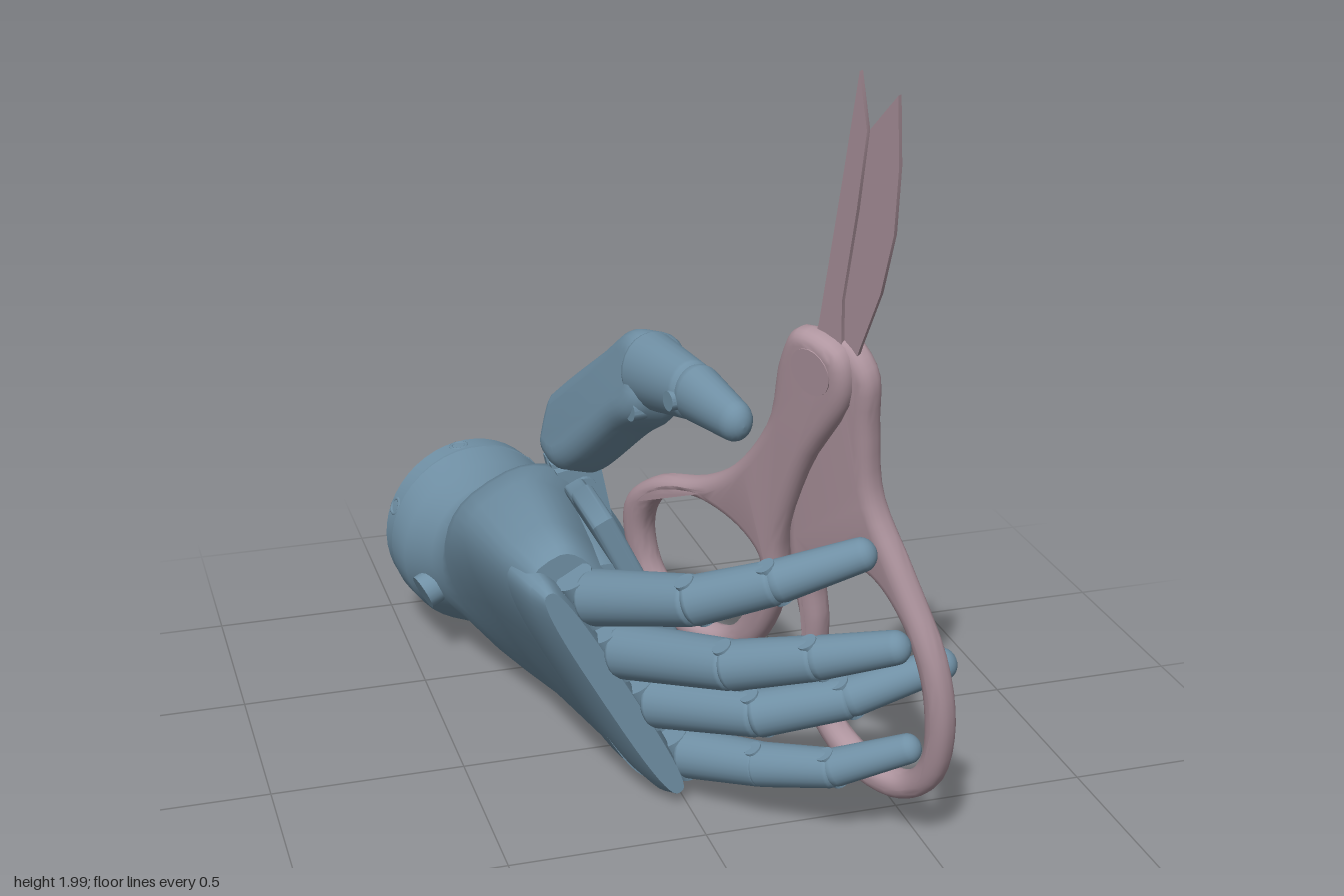
import * as THREE from 'three';
import { toCreasedNormals } from 'three/addons/utils/BufferGeometryUtils.js';

const V = (x, y, z) => new THREE.Vector3(x, y, z);
const handMat = new THREE.MeshStandardMaterial({ color: 0x7090a5 });
const scissorMat = new THREE.MeshStandardMaterial({ color: 0xb096a0 });
const W = V(0.49, -0.87, 0).normalize(); // across the hand, towards the little finger
const P = V(0.87, 0.49, 0).normalize(); // out of the palm

function mesh(name, geo, mat, parent) {
  const m = new THREE.Mesh(geo, mat);
  m.name = name;
  parent.add(m);
  return m;
}

// matrix with local y along dir and local x close to side
function frame(at, dir, side) {
  const y = dir.clone().normalize();
  const x = side.clone().addScaledVector(y, -side.dot(y)).normalize();
  return new THREE.Matrix4().makeBasis(x, y, x.clone().cross(y)).setPosition(at);
}

// rounded tapering segment between two points; sx flattens it sideways
function segment(a, b, r0, r1, side, sx = 1, round = 0.6) {
  const dir = b.clone().sub(a), L = dir.length(), pts = [];
  for (let i = 0; i <= 6; i++) {
    const t = (i / 6) * Math.PI / 2;
    pts.push(new THREE.Vector2(r0 * Math.sin(t), r0 * round * (1 - Math.cos(t))));
  }
  for (let i = 0; i <= 6; i++) {
    const t = (i / 6) * Math.PI / 2;
    pts.push(new THREE.Vector2(r1 * Math.cos(t), L - r1 * round * (1 - Math.sin(t))));
  }
  return new THREE.LatheGeometry(pts, 24).scale(sx, 1, 1).applyMatrix4(frame(a, dir, side));
}

// pin lying along an axis
function pin(at, axis, r, len) {
  return toCreasedNormals(new THREE.CylinderGeometry(r, r, len, 20), 0.6)
    .applyMatrix4(frame(at, axis, V(0.1, 0.2, 1)));
}

// superellipse sections along z: [z, cx, cy, halfWidth, halfThickness, power, shear]
function loft(sections, n = 40) {
  const pos = [], idx = [];
  const pw = (v, e) => Math.sign(v) * Math.abs(v) ** (2 / e);
  for (const [z, cx, cy, a, b, e, k] of sections) {
    for (let j = 0; j < n; j++) {
      const t = (j / n) * Math.PI * 2;
      const q = V(cx, cy, z).addScaledVector(W, a * pw(Math.cos(t), e)).addScaledVector(P, b * pw(Math.sin(t), e));
      pos.push(q.x, q.y, z - k * (q.x - cx));
    }
  }
  const last = sections.length - 1;
  for (let i = 0; i < last; i++) for (let j = 0; j < n; j++) {
    const a = i * n + j, b = i * n + (j + 1) % n;
    idx.push(a, b, b + n, a, b + n, a + n);
  }
  for (let j = 1; j < n - 1; j++) {
    idx.push(0, j + 1, j);
    idx.push(last * n, last * n + j, last * n + j + 1);
  }
  const g = new THREE.BufferGeometry();
  g.setAttribute('position', new THREE.Float32BufferAttribute(pos, 3));
  g.setIndex(idx);
  return toCreasedNormals(g, 0.7);
}

// closed outline in (z, y), smooth or straight
function outline(pts, smooth) {
  if (!smooth) return pts.map(p => new THREE.Vector2(...p));
  const c = new THREE.CatmullRomCurve3(pts.map(p => V(p[0], p[1], 0)), true, 'centripetal');
  return c.getPoints(72).slice(0, -1).map(p => new THREE.Vector2(p.x, p.y));
}

// plate drawn in (z, y), lying in the plane x = ox + s*z + t*y
function plate(pts, hole, { ox, s, t, depth, bevel, smooth, offset = 0 }) {
  const shape = new THREE.Shape(outline(pts, smooth));
  if (hole) shape.holes.push(new THREE.Path(outline(hole, smooth)));
  const geo = new THREE.ExtrudeGeometry(shape, {
    depth, bevelEnabled: bevel > 0, bevelSize: bevel, bevelThickness: bevel, bevelOffset: -bevel, bevelSegments: 5,
  });
  geo.translate(0, 0, -depth / 2 + offset);
  const u = V(s, 0, 1), v = V(t, 1, 0);
  const m = new THREE.Matrix4().makeBasis(u, v, u.clone().cross(v).normalize()).setPosition(ox, 0, 0);
  return toCreasedNormals(geo.applyMatrix4(m), 0.7);
}

function buildFinger(name, pts, r, parent) {
  const g = new THREE.Group();
  g.name = name;
  parent.add(g);
  const p = pts.map(q => V(...q));
  const dir = p[1].clone().sub(p[0]).normalize();
  // knuckle block and hinge
  mesh('knuckleBlock', new THREE.BoxGeometry(r * 1.6, 0.12, r * 1.5)
    .applyMatrix4(frame(p[0].clone().addScaledVector(dir, -0.02), dir, W)), handMat, g);
  mesh('knuckleHinge', pin(p[0].clone().addScaledVector(dir, 0.04), W, r * 0.7, r * 1.9), handMat, g);
  for (let i = 0; i < 3; i++) {
    const tip = i === 2, r0 = r * (1 - 0.13 * i);
    const d = p[i + 1].clone().sub(p[i]).normalize();
    const a = p[i].clone().addScaledVector(d, i ? -0.03 : 0.04);
    mesh(tip ? 'fingertip' : 'phalanx', segment(a, p[i + 1].clone().addScaledVector(d, 0.02),
      r0, r0 * (tip ? 0.78 : 0.88), W, 1, tip ? 0.9 : 0.5), handMat, g);
    if (i) mesh('fingerHinge', pin(p[i], W, r * 0.35, r0 * 2.05), handMat, g);
  }
}

export function createModel() {
  const model = new THREE.Group();
  const hand = new THREE.Group(), scissors = new THREE.Group();
  hand.name = 'hand';
  scissors.name = 'scissors';
  model.add(hand, scissors);

  // wrist cuff with a recessed end
  const axis = V(0.17, 0, 0.985), cuffAt = V(-0.29, 0.31, -0.9);
  const cuff = [[0, 0.08], [0.16, 0.08], [0.16, 0], [0.238, 0], [0.248, 0.012], [0.25, 0.07], [0.24, 0.075], [0.24, 0.1]];
  mesh('wristCuff', toCreasedNormals(new THREE.LatheGeometry(cuff.map(c => new THREE.Vector2(...c)), 48), 0.6)
    .applyMatrix4(frame(cuffAt, axis, V(1, 0, 0))), handMat, hand);
  for (let i = 0; i < 6; i++) {
    const t = i * Math.PI / 3 + 0.4, c = frame(cuffAt, axis, V(1, 0, 0));
    const out = V(Math.cos(t), 0, Math.sin(t)).transformDirection(c);
    const at = cuffAt.clone().addScaledVector(axis, 0.04).addScaledVector(out, 0.245);
    mesh('cuffScrew', new THREE.TorusGeometry(0.022, 0.006, 8, 20).rotateX(Math.PI / 2)
      .applyMatrix4(frame(at, out, axis)), handMat, hand);
  }

  // wrist and back-of-hand shell
  mesh('handShell', loft([
    [-0.83, -0.28, 0.31, 0.24, 0.24, 2, 0.17],
    [-0.82, -0.28, 0.31, 0.25, 0.25, 2, 0.17],
    [-0.72, -0.27, 0.31, 0.238, 0.243, 2, 0.15],
    [-0.6, -0.245, 0.32, 0.228, 0.205, 2, 0.1],
    [-0.53, -0.22, 0.32, 0.24, 0.21, 2, 0.05],
    [-0.44, -0.165, 0.335, 0.32, 0.24, 2.5, 0],
    [-0.34, -0.17, 0.35, 0.345, 0.215, 2.8, 0],
    [-0.2, -0.175, 0.36, 0.365, 0.175, 3, 0],
    [0.1, -0.16, 0.365, 0.38, 0.135, 3.2, 0],
    [0.23, -0.15, 0.37, 0.375, 0.11, 3.2, 0],
    [0.25, -0.15, 0.37, 0.36, 0.1, 3.2, 0],
  ]), handMat, hand);
  mesh('knuckleGuard', loft([
    [0.15, -0.21, 0.335, 0.355, 0.07, 3, 0],
    [0.3, -0.195, 0.345, 0.355, 0.055, 3, 0],
    [0.345, -0.185, 0.345, 0.34, 0.035, 3, 0],
  ]), handMat, hand);
  mesh('wristSocket', pin(V(-0.445, 0.24, -0.62), V(-1, -0.45, 0.2), 0.05, 0.07), handMat, hand);

  // flat palm cover over the palm core
  mesh('palmCover', plate([[0.23, 0.1], [0.23, 0.76], [0.03, 0.77], [-0.08, 0.7], [-0.22, 0.68], [-0.28, 0.54],
    [-0.46, 0.51], [-0.46, 0.14], [-0.36, 0.09], [-0.1, 0.08]], null,
  { ox: 0.195, s: 0, t: -0.5, depth: 0.03, bevel: 0.015 }), handMat, hand);
  mesh('palmCore', loft([
    [-0.42, -0.1, 0.335, 0.29, 0.14, 4, 0],
    [-0.2, -0.105, 0.335, 0.31, 0.14, 5, 0],
    [0.22, -0.11, 0.335, 0.31, 0.14, 5, 0],
  ]), handMat, hand);

  // four fingers, each from knuckle to tip
  buildFinger('indexFinger', [[-0.26, 0.58, 0.25], [-0.06, 0.7, 0.59], [0.09, 0.78, 0.71], [0.28, 0.87, 0.8]], 0.07, hand);
  buildFinger('middleFinger', [[-0.19, 0.44, 0.27], [0.02, 0.54, 0.63], [0.17, 0.61, 0.78], [0.325, 0.68, 0.91]], 0.07, hand);
  buildFinger('ringFinger', [[-0.11, 0.29, 0.27], [0.11, 0.37, 0.57], [0.29, 0.44, 0.68], [0.51, 0.54, 0.755]], 0.068, hand);
  buildFinger('littleFinger', [[-0.02, 0.12, 0.25], [0.15, 0.175, 0.48], [0.28, 0.22, 0.62], [0.44, 0.31, 0.73]], 0.064, hand);

  // thumb: fork, heavy base shell, middle segment and tip
  const thumb = new THREE.Group();
  thumb.name = 'thumb';
  hand.add(thumb);
  const X = V(1, 0, -0.2);
  for (const z of [-0.43, -0.37, -0.31]) {
    mesh('thumbFork', new THREE.BoxGeometry(0.12, 0.18, 0.03).rotateZ(0.2).translate(-0.09, 0.6, z), handMat, thumb);
  }
  mesh('thumbForkPin', pin(V(-0.09, 0.63, -0.37), V(0, 0, 1), 0.03, 0.18), handMat, thumb);
  mesh('thumbBase', plate([[-0.45, 0.67], [-0.34, 0.66], [-0.27, 0.69], [-0.05, 0.87], [0.05, 0.94], [0.08, 1.0],
    [0.06, 1.08], [0, 1.13], [-0.08, 1.13], [-0.2, 1.04], [-0.44, 0.86], [-0.48, 0.82], [-0.475, 0.72]], null,
  { ox: -0.28, s: 0.05, t: 0.28, depth: 0.05, bevel: 0.055, smooth: true }), handMat, thumb);
  mesh('thumbHinge', pin(V(0.01, 0.97, 0.03), X, 0.028, 0.15), handMat, thumb);
  mesh('thumbMiddle', segment(V(0, 1.05, -0.04), V(0.05, 1.08, 0.25), 0.1, 0.075, X, 0.85, 0.5), handMat, thumb);
  mesh('thumbTipHinge', pin(V(0.045, 1.06, 0.22), X, 0.025, 0.136), handMat, thumb);
  mesh('thumbTip', segment(V(0.04, 1.08, 0.18), V(0.1, 1.06, 0.45), 0.073, 0.052, X, 0.85, 0.9), handMat, thumb);

  // scissors, all lying in one slanted plane
  const plane = { ox: 0.153, s: 0.5, t: -0.19 };
  const grip = { ...plane, depth: 0.012, bevel: 0.03, smooth: true };
  mesh('thumbHandle', plate(
    [[0.6, 1.36], [0.54, 1.28], [0.47, 1.1], [0.33, 0.93], [0.2, 0.845], [0.04, 0.79], [-0.07, 0.7], [-0.1, 0.57], [-0.05, 0.41],
      [0.07, 0.335], [0.2, 0.35], [0.3, 0.43], [0.4, 0.6], [0.44, 0.76], [0.56, 1.0], [0.71, 1.22], [0.71, 1.33]],
    [[0.31, 0.76], [0.18, 0.79], [0.05, 0.735], [-0.02, 0.63], [-0.02, 0.49], [0.06, 0.41], [0.17, 0.41], [0.26, 0.49], [0.33, 0.62], [0.36, 0.7]],
    { ...grip, offset: 0.018 }), scissorMat, scissors);
  mesh('fingerHandle', plate(
    [[0.68, 1.36], [0.75, 1.28], [0.73, 1.13], [0.71, 0.95], [0.76, 0.78], [0.82, 0.56], [0.81, 0.36], [0.74, 0.19], [0.62, 0.11],
      [0.49, 0.13], [0.4, 0.24], [0.38, 0.36], [0.42, 0.52], [0.42, 0.66], [0.45, 0.85], [0.54, 1.12], [0.56, 1.3]],
    [[0.67, 0.74], [0.58, 0.75], [0.5, 0.67], [0.48, 0.54], [0.45, 0.38], [0.46, 0.26], [0.54, 0.19], [0.64, 0.185], [0.72, 0.27], [0.755, 0.4], [0.76, 0.53], [0.73, 0.66]],
    { ...grip, offset: -0.018 }), scissorMat, scissors);
  const steel = { ...plane, depth: 0.01, bevel: 0 };
  mesh('rearBlade', plate([[0.865, 2], [0.86, 1.87], [0.8, 1.68], [0.72, 1.45], [0.68, 1.25], [0.59, 1.25], [0.645, 1.38], [0.77, 1.73]],
    null, { ...steel, offset: 0.005 }), scissorMat, scissors);
  mesh('frontBlade', plate([[0.945, 1.96], [0.92, 1.8], [0.88, 1.64], [0.82, 1.49], [0.74, 1.34], [0.68, 1.22], [0.62, 1.28], [0.7, 1.46], [0.79, 1.71], [0.86, 1.87]],
    null, { ...steel, offset: -0.005 }), scissorMat, scissors);
  mesh('pivotScrew', pin(V(0.235, 1.275, 0.635), V(1, 0.19, -0.5), 0.058, 0.125), scissorMat, scissors);
  return model;
}
